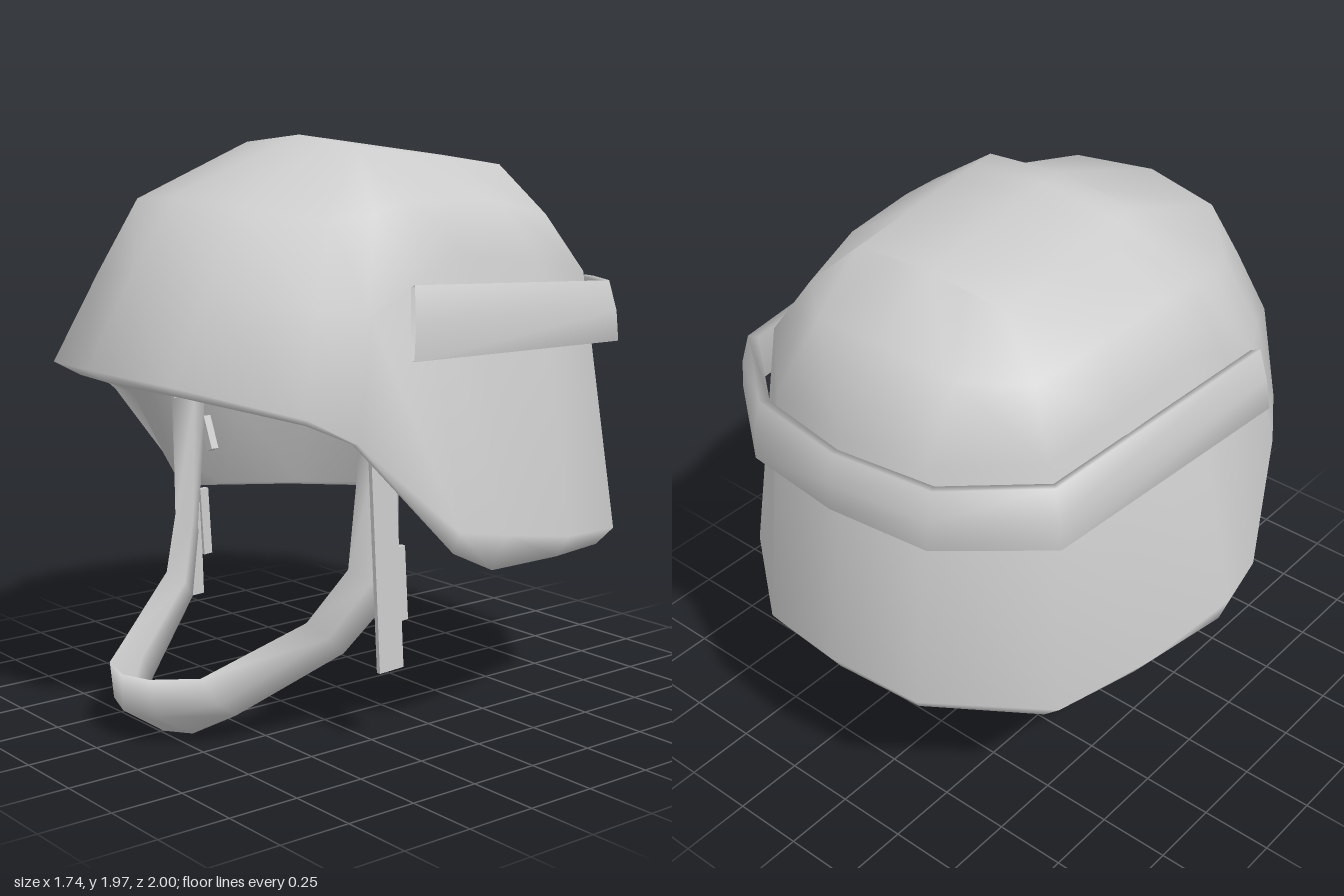
import * as THREE from 'three';
import { mergeVertices } from 'three/addons/utils/BufferGeometryUtils.js';

const material = new THREE.MeshStandardMaterial({ color: 0xcccccc, side: THREE.DoubleSide });

// Skin a list of closed cross-sections, each an array of [x, y, z]
function loft(sections) {
  const n = sections[0].length;
  const index = [];
  for (let i = 0; i < sections.length - 1; i++) {
    for (let j = 0; j < n; j++) {
      const k = (j + 1) % n;
      const a = i * n + j, b = a + n, c = (i + 1) * n + k, d = i * n + k;
      index.push(a, b, c, a, c, d);
    }
  }
  let g = new THREE.BufferGeometry();
  g.setAttribute('position', new THREE.Float32BufferAttribute(sections.flat(2), 3));
  g.setIndex(index);
  g = mergeVertices(g, 1e-4);
  g.computeVertexNormals();
  return g;
}

const mirror = ([x, y, z]) => [-x, y, z];

// Half ring (front centre to back centre, left side) to a full ring
const fullRing = (half) => [...half, ...half.slice(1, -1).reverse().map(mirror)];

// Run of sections from the left end to the middle, continued to the right end
const bothSides = (run) => [...run, ...run.slice(0, -1).reverse().map((s) => s.map(mirror))];

// Helmet shell half rings: spine of the crown, edge of the flat crown, then down to the rim
const spine = [0.16, 0.16, 0.16, 0.16, 0.08, 0, -0.23, -0.48, -0.48, -0.48]
  .map((z) => [0, 1.95 + z * 0.125, z]);
const top = [
  [0, 1.97, 0.16], [0.15, 1.955, 0.16], [0.3, 1.94, 0.16], [0.3, 1.94, 0.16], [0.3, 1.93, 0.08],
  [0.3, 1.92, 0], [0.3, 1.895, -0.23], [0.3, 1.865, -0.48], [0.15, 1.878, -0.48], [0, 1.89, -0.48],
];
const upper = [
  [0, 1.78, 0.67], [0.29, 1.76, 0.62], [0.48, 1.72, 0.42], [0.54, 1.74, 0.28], [0.545, 1.77, 0.15],
  [0.545, 1.77, 0], [0.53, 1.75, -0.28], [0.47, 1.7, -0.54], [0.28, 1.71, -0.69], [0, 1.75, -0.72],
];
const middle = [
  [0, 1.54, 0.83], [0.32, 1.52, 0.76], [0.56, 1.44, 0.53], [0.645, 1.43, 0.38], [0.65, 1.55, 0.17],
  [0.655, 1.6, 0], [0.64, 1.56, -0.35], [0.585, 1.51, -0.61], [0.31, 1.5, -0.86], [0, 1.51, -0.905],
];
const rim = [
  [0, 1.25, 1], [0.35, 1.23, 0.92], [0.61, 1.13, 0.6], [0.7, 1.05, 0.47], [0.84, 0.76, 0.18],
  [0.87, 0.73, 0], [0.8, 0.66, -0.35], [0.69, 0.62, -0.68], [0.33, 0.64, -0.96], [0, 0.66, -1],
];
const lip = [
  [0, 1.2, 0.92], [0.3, 1.185, 0.85], [0.55, 1.1, 0.56], [0.63, 1.04, 0.44], [0.79, 0.68, 0.16],
  [0.82, 0.61, 0.02], [0.74, 0.58, -0.35], [0.62, 0.55, -0.67], [0.31, 0.59, -0.93], [0, 0.61, -0.97],
];
const innerRim = [
  [0, 1.22, 0.87], [0.28, 1.2, 0.79], [0.51, 1.12, 0.51], [0.58, 1.04, 0.39], [0.7, 0.7, 0.1],
  [0.73, 0.63, -0.02], [0.67, 0.6, -0.35], [0.57, 0.58, -0.62], [0.27, 0.61, -0.85], [0, 0.63, -0.89],
];
// Sloping wall of the lining
const lining = [
  [0, 1.28, 0.73], [0.26, 1.26, 0.66], [0.47, 1.19, 0.44], [0.54, 1.1, 0.33], [0.6, 0.95, 0.1],
  [0.61, 0.94, -0.02], [0.56, 0.94, -0.32], [0.48, 0.94, -0.53], [0.24, 0.97, -0.72], [0, 0.98, -0.76],
];

function shellGeometry() {
  const ceiling = lining.map(([x, y, z]) => [x * 0.72, 1.23 + (y - 0.94) * 0.3, z * 0.72]);
  const ceilingCentre = top.map(() => [0, 1.4, 0]);
  return loft([spine, top, upper, middle, rim, lip, innerRim, lining, ceiling, ceilingCentre].map(fullRing));
}

// Thick band round the back: inner top, outer top, bulge, outer bottom, inner bottom
function bandGeometry() {
  const run = [
    [[0.705, 1.52, 0.27], [0.735, 1.53, 0.28], [0.77, 1.3, 0.31], [0.745, 1.3, 0.3]],
    [[0.63, 1.475, -0.645], [0.655, 1.48, -0.665], [0.69, 1.275, -0.68], [0.665, 1.275, -0.66]],
    [[0.35, 1.455, -0.86], [0.365, 1.46, -0.89], [0.37, 1.26, -0.925], [0.36, 1.26, -0.9]],
    [[0, 1.455, -0.91], [0, 1.46, -0.94], [0, 1.26, -0.965], [0, 1.26, -0.94]],
  ].map(([ti, to, bo, bi]) => {
    const mid = to.map((v, i) => (v + bo[i]) / 2);
    return [ti, to, [mid[0] * 1.01, mid[1], mid[2] < 0 ? mid[2] * 1.01 : mid[2]], bo, bi];
  });
  return loft(bothSides(run).map((s) => s.reverse()));
}

// Chin strap: front edge, outer ridge, back edge, with a shallow inner face
function chinStrapGeometry() {
  const run = [
    [[0.535, 1.02, 0.33], [0.555, 1.02, 0.26], [0.55, 1.02, 0.18]],
    [[0.5, 0.6, 0.35], [0.56, 0.57, 0.29], [0.57, 0.52, 0.2]],
    [[0.41, 0.42, 0.45], [0.46, 0.37, 0.4], [0.44, 0.3, 0.32]],
    [[0.24, 0.25, 0.75], [0.28, 0.16, 0.7], [0.25, 0.1, 0.62]],
    [[0.12, 0.24, 0.87], [0.13, 0.11, 0.85], [0.13, 0.025, 0.71]],
    [[0, 0.235, 0.9], [0, 0.11, 0.895], [0, 0.005, 0.74]],
  ].map(([a, b, c]) => {
    const inner = a.map((v, i) => (v + c[i]) / 2);
    return [a, b, c, [inner[0] * 0.97, inner[1] + 0.01, inner[2] - 0.015]];
  });
  return loft(bothSides(run).map((s) => s.reverse()));
}

export function createModel() {
  const model = new THREE.Group();
  model.name = 'helmet';
  const add = (name, geometry) => {
    const mesh = new THREE.Mesh(geometry, material);
    mesh.name = name;
    model.add(mesh);
    return mesh;
  };
  add('shell', shellGeometry());
  add('backBand', bandGeometry());
  add('chinStrap', chinStrapGeometry());

  for (const side of [1, -1]) {
    const label = side > 0 ? 'left' : 'right';

    // Loose strap end hanging beside the chin strap
    const strap = add(label + 'HangingStrap', new THREE.BoxGeometry(0.016, 0.82, 0.1));
    strap.position.set(side * 0.567, 0.67, 0.25);
    strap.rotation.set(0.04, 0, side * 0.018);

    // Buckle behind the strap
    const buckle = add(label + 'Buckle', new THREE.BoxGeometry(0.02, 0.25, 0.035));
    buckle.position.set(side * 0.56, 0.54, 0.18);
    buckle.rotation.x = 0.06;

    // Small tab coming out of the lining
    const tab = add(label + 'Tab', new THREE.BoxGeometry(0.035, 0.15, 0.03));
    tab.position.set(side * 0.605, 0.87, 0.13);
    tab.rotation.z = side * -0.4;
  }
  return model;
}
